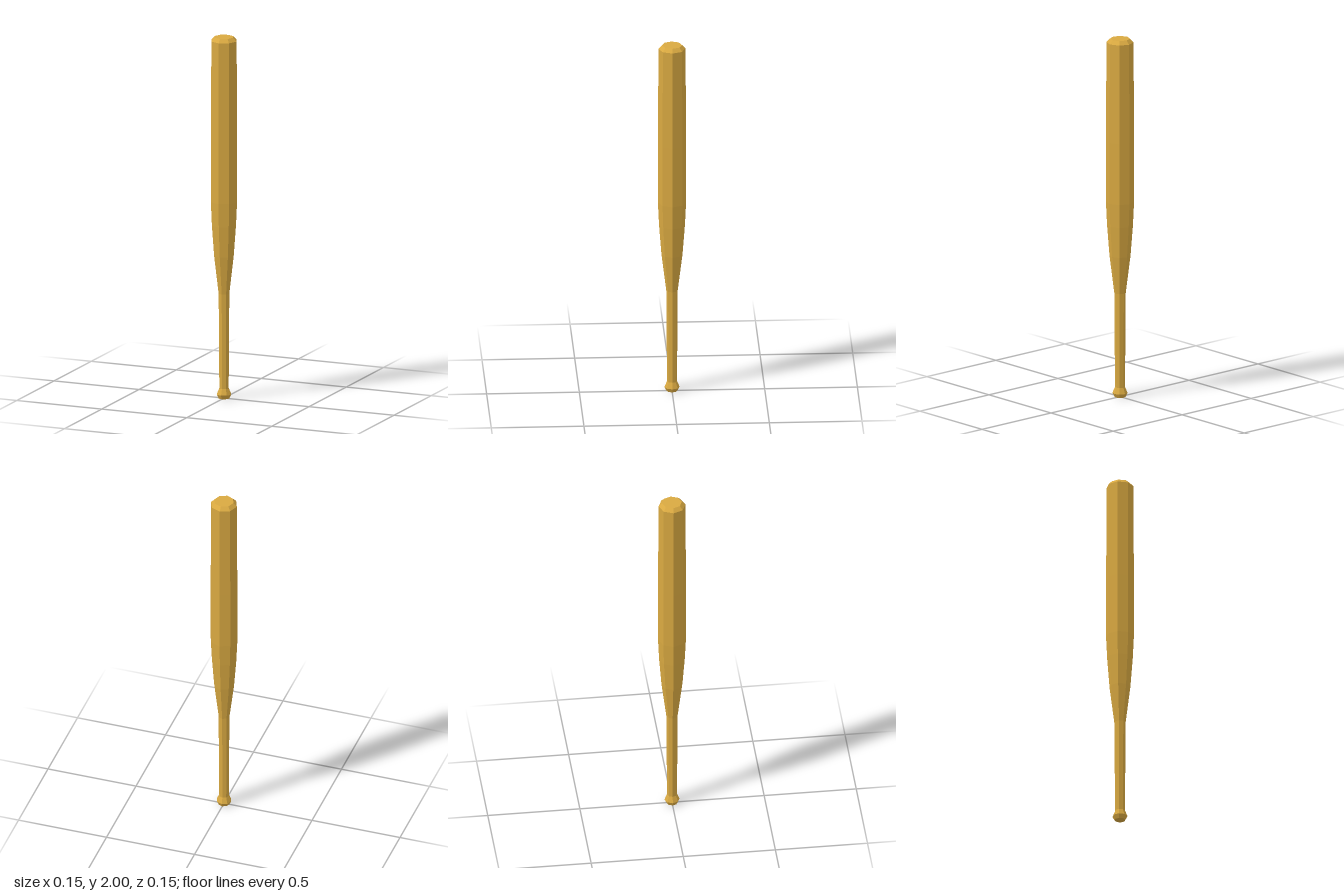
import * as THREE from 'three';

const SIDES = 8;

export function createModel() {
  const group = new THREE.Group();
  group.name = 'bat';
  const wood = new THREE.MeshStandardMaterial({ color: 0xd9a941, flatShading: true });
  wood.name = 'wood';

  // Turns a [radius, height] profile, listed from bottom to top, into a faceted part
  function turned(name, profile) {
    const points = profile.map(([r, y]) => new THREE.Vector2(r, y));
    const mesh = new THREE.Mesh(new THREE.LatheGeometry(points, SIDES), wood);
    mesh.name = name;
    group.add(mesh);
  }

  // Flared end knob, closed underneath
  turned('knob', [[0, 0], [0.03, 0], [0.041, 0.022], [0.027, 0.055]]);
  // Slim grip
  turned('handle', [[0.027, 0.055], [0.031, 0.58]]);
  // Swelling shoulder between grip and barrel
  turned('taper', [[0.031, 0.58], [0.057, 0.79], [0.07, 0.96], [0.076, 1.09]]);
  // Thick barrel with a bevelled, flat end
  turned('barrel', [[0.076, 1.09], [0.076, 1.43], [0.073, 1.98], [0.054, 2], [0, 2]]);

  return group;
}
